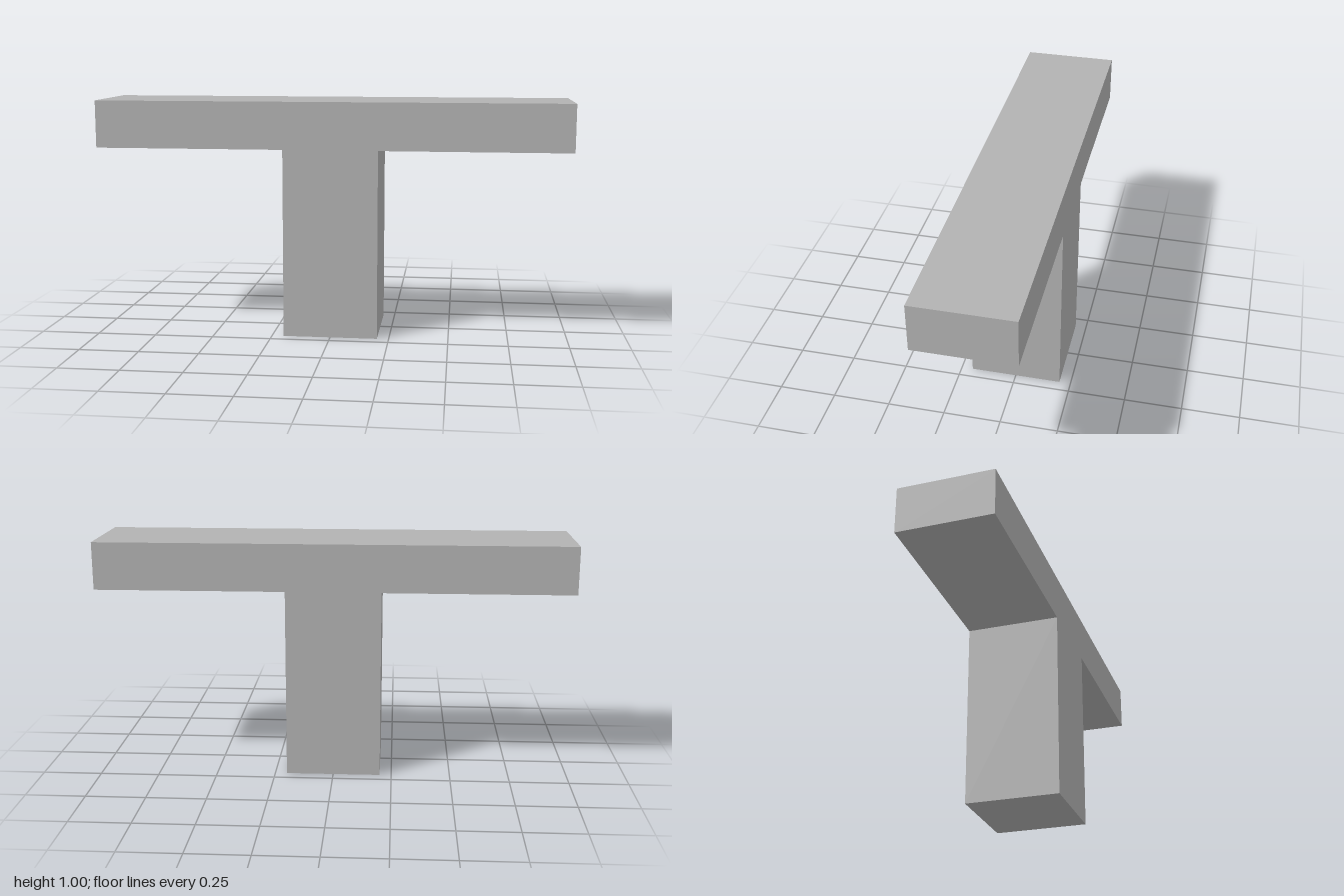
import * as THREE from 'three';

export function createModel() {
  const model = new THREE.Group();
  model.name = 'teeBlock';

  const grey = new THREE.MeshStandardMaterial({ color: 0xb2b2b2 });
  grey.name = 'grey';

  // T-shaped outline: a wide crossbar on a central stem
  const outline = new THREE.Shape([
    [-0.2, 0], [0.2, 0], [0.2, 0.8], [1, 0.8],
    [1, 1], [-1, 1], [-1, 0.8], [-0.2, 0.8],
  ].map(([x, y]) => new THREE.Vector2(x, y)));

  // One seamless solid, centred in depth
  const depth = 0.4;
  const geometry = new THREE.ExtrudeGeometry(outline, { depth, bevelEnabled: false });
  geometry.translate(0, 0, -depth / 2);

  const body = new THREE.Mesh(geometry, grey);
  body.name = 'crossbarAndStem';
  model.add(body);
  return model;
}
